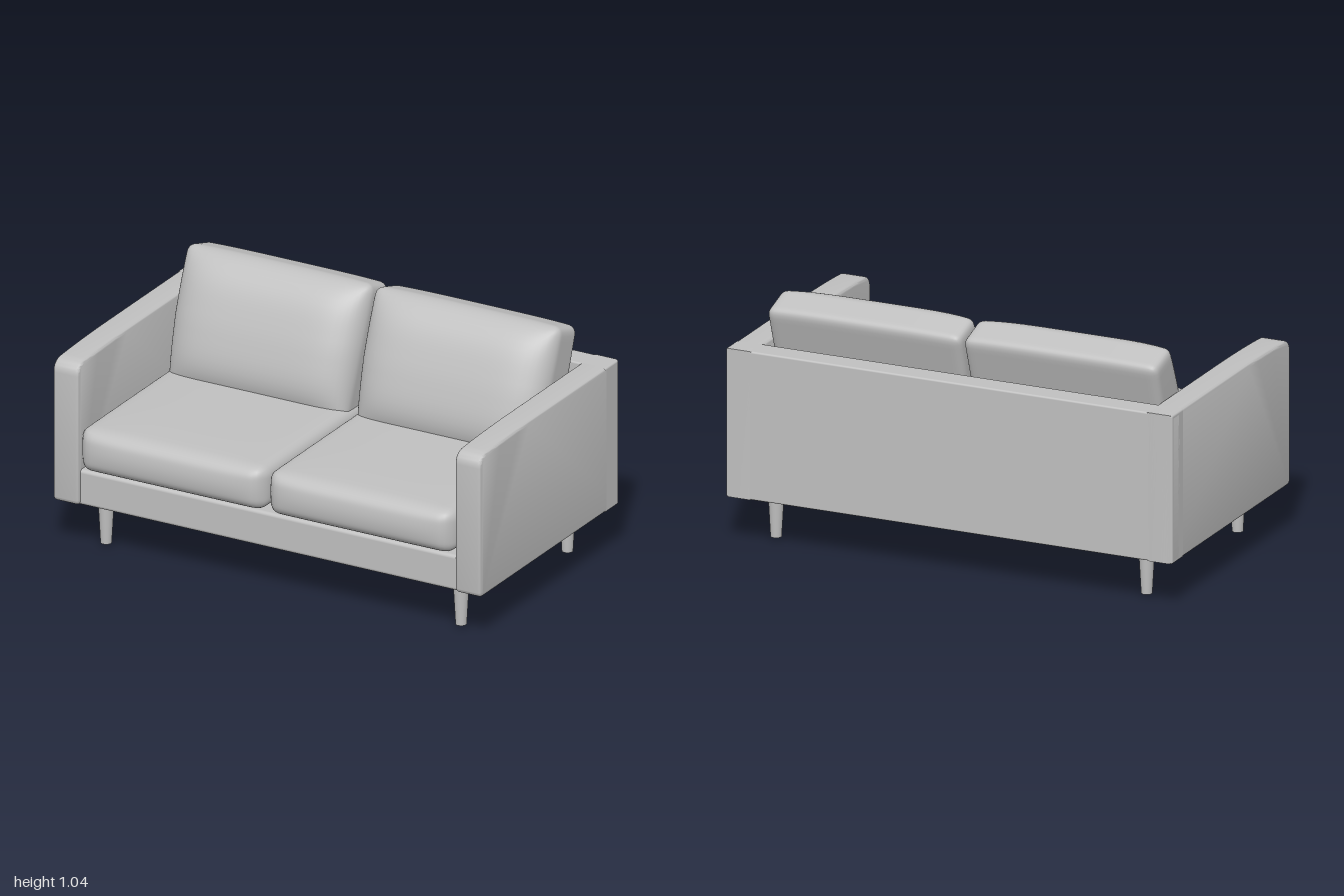
import * as THREE from 'three';
import { mergeVertices, toCreasedNormals } from 'three/addons/utils/BufferGeometryUtils.js';
import { RoundedBoxGeometry } from 'three/addons/geometries/RoundedBoxGeometry.js';

const fabric = new THREE.MeshStandardMaterial({ name: 'grey fabric', color: 0xc0c0c0 });

function add(parent, name, geometry, x, y, z) {
  const mesh = new THREE.Mesh(geometry, fabric);
  mesh.name = name;
  mesh.position.set(x, y, z);
  parent.add(mesh);
  return mesh;
}

// Rounded box with dense vertices, reshaped by puff(point, unitPosition)
function cushionGeometry(w, h, d, r, puff) {
  const geo = new THREE.BoxGeometry(2, 2, 2, 32, 24, 24);
  const half = new THREE.Vector3(w / 2, h / 2, d / 2);
  const p = new THREE.Vector3(), core = new THREE.Vector3(), unit = new THREE.Vector3();
  const limit = half.clone().subScalar(r);
  const pos = geo.attributes.position;
  for (let i = 0; i < pos.count; i++) {
    p.fromBufferAttribute(pos, i);
    // crowd the grid toward the edges so the rounding is smooth
    for (const k of ['x', 'y', 'z']) p[k] = Math.sin(p[k] * Math.PI / 2) * half[k];
    core.copy(p).clamp(limit.clone().negate(), limit);
    p.sub(core).setLength(r).add(core);
    unit.copy(p).divide(half);
    puff(p, unit);
    pos.setXYZ(i, p.x, p.y, p.z);
  }
  geo.deleteAttribute('normal');
  geo.deleteAttribute('uv');
  const smooth = mergeVertices(geo, 1e-5);
  smooth.computeVertexNormals();
  return smooth;
}

// Side profile of an arm, extruded across its width with soft edges
function armGeometry(width) {
  const s = new THREE.Shape();
  s.moveTo(-0.575, 0.2);
  s.lineTo(0.52, 0.2);
  s.quadraticCurveTo(0.545, 0.2, 0.547, 0.225);
  s.lineTo(0.548, 0.77);
  s.quadraticCurveTo(0.546, 0.815, 0.5, 0.824);
  s.quadraticCurveTo(0.38, 0.833, 0.15, 0.835);
  s.lineTo(-0.575, 0.835);
  s.closePath();
  const b = 0.014;
  const geo = new THREE.ExtrudeGeometry(s, {
    depth: width - 2 * b, bevelEnabled: true, bevelSize: b, bevelThickness: b,
    bevelOffset: -b, bevelSegments: 4, curveSegments: 10,
  });
  geo.rotateY(-Math.PI / 2);
  geo.translate(width / 2 - b, 0, 0);
  return toCreasedNormals(geo, 0.6);
}

export function createModel() {
  const sofa = new THREE.Group();
  sofa.name = 'sofa';

  // Frame: base, back panel and two arms
  add(sofa, 'base', new RoundedBoxGeometry(1.9, 0.155, 1.1, 4, 0.015), 0, 0.2775, -0.02);
  add(sofa, 'backPanel', new RoundedBoxGeometry(2, 0.635, 0.11, 3, 0.008), 0, 0.5175, -0.52);
  const arm = armGeometry(0.12);
  for (const side of [-1, 1]) {
    add(sofa, side > 0 ? 'leftArm' : 'rightArm', arm, side * 0.94, 0, 0);
  }

  // Seat cushions, softly crowned and swelling at the front
  const seat = cushionGeometry(0.865, 0.185, 0.99, 0.045, (p, u) => {
    const crown = (1 - u.x ** 4) * (1 - u.z ** 4);
    p.y += 0.012 * crown * Math.max(u.y, 0);
    p.z += 0.022 * (1 - u.x ** 6) * Math.max(u.z, 0) ** 4 * (1 - u.y ** 2);
    const corner = Math.max(Math.abs(u.x) - 0.85, 0) / 0.15;
    if (u.z > 0.8) p.z -= 0.03 * corner ** 2 * (u.z - 0.8) / 0.2;
    p.x *= 1 + 0.012 * (1 - u.y ** 2);
  });

  // Back cushions: thinner at the top, front face bulging
  const back = cushionGeometry(0.84, 0.575, 0.19, 0.035, (p, u) => {
    const front = (u.z + 1) / 2;
    p.z -= 0.025 * Math.max(u.y, 0) * front;
    p.z += 0.088 * (1 - u.x ** 6) * (1 - u.y ** 4) * front;
    p.x *= 1.01 + 0.022 * u.y + 0.012 * (1 - u.y ** 2);
    p.y += 0.006 * (1 - u.x ** 4) * Math.max(u.y, 0);
  });
  const lean = Math.atan2(0.3, 0.954);
  for (const side of [-1, 1]) {
    const label = side > 0 ? 'left' : 'right';
    const x = -0.007 + side * 0.44;
    add(sofa, label + 'SeatCushion', seat, x, 0.452, 0.06);
    // centre of the cushion in its leaning frame
    const up = 0.224, out = 0.095;
    const cushion = add(sofa, label + 'BackCushion', back, x,
      0.5 + 0.954 * up + 0.3 * out, -0.33 - 0.3 * up + 0.954 * out);
    cushion.rotation.x = -lean;
  }

  // Four tapered legs and a slim centre support
  const leg = new THREE.CylinderGeometry(0.034, 0.023, 0.2, 24);
  for (const x of [-0.82, 0.84]) {
    for (const z of [0.425, -0.435]) {
      add(sofa, z > 0 ? 'frontLeg' : 'rearLeg', leg, x, 0.11, z);
    }
  }
  const support = new THREE.CylinderGeometry(0.027, 0.027, 0.21, 24);
  support.scale(1, 1, 0.72);
  add(sofa, 'centreLeg', support, 0.005, 0.105, -0.01);

  return sofa;
}
